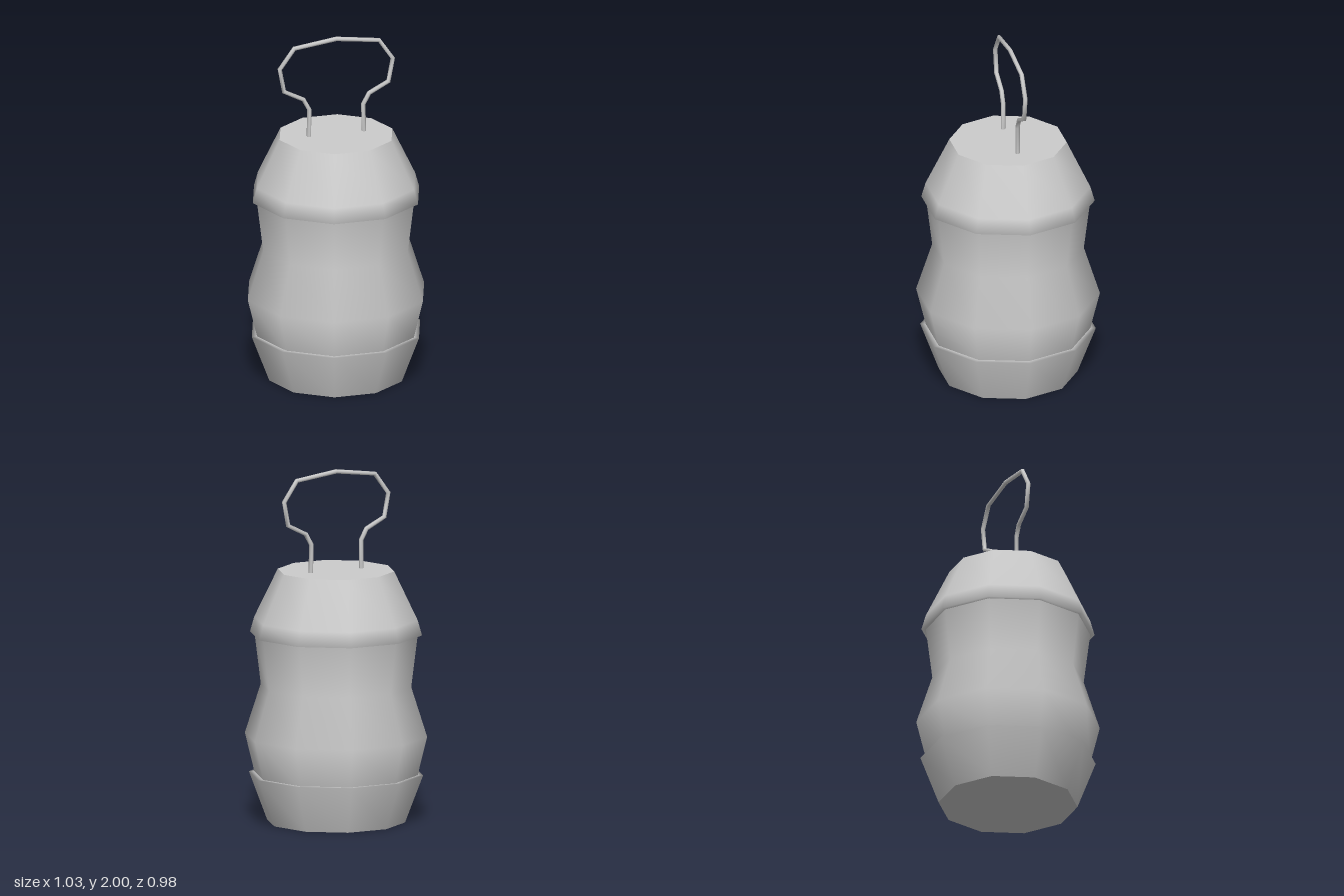
import * as THREE from 'three';

const SIDES = 10;
const material = new THREE.MeshStandardMaterial({ color: 0xcccccc });

function add(group, name, geometry) {
  const mesh = new THREE.Mesh(geometry, material);
  mesh.name = name;
  group.add(mesh);
  return mesh;
}

// Ten-sided turned part from [radius, y] pairs, with a corner on the x axis
function turned(profile) {
  const points = profile.map(([r, y]) => new THREE.Vector2(r, y));
  return new THREE.LatheGeometry(points, SIDES, Math.PI / 2);
}

// Curve through straight segments, with mitred tangents at the corners
class WirePath extends THREE.Curve {
  constructor(points) {
    super();
    this.points = points.map(([x, y]) => new THREE.Vector3(x, y, -0.012));
  }
  getPoint(t, target = new THREE.Vector3()) {
    const last = this.points.length - 1;
    const i = Math.min(Math.floor(t * last + 1e-6), last - 1);
    return target.lerpVectors(this.points[i], this.points[i + 1], t * last - i);
  }
  getPointAt(t, target) {
    return this.getPoint(t, target);
  }
  getTangentAt(t, target = new THREE.Vector3()) {
    const p = this.points;
    const i = Math.round(t * (p.length - 1));
    target.set(0, 0, 0);
    if (i > 0) target.add(p[i].clone().sub(p[i - 1]).normalize());
    if (i < p.length - 1) target.add(p[i + 1].clone().sub(p[i]).normalize());
    return target.normalize();
  }
}

export function createModel() {
  const group = new THREE.Group();

  // Flared foot with a narrow ledge
  add(group, 'base', turned([[0.39, 0], [0.492, 0.27], [0.455, 0.27]]));
  const bottom = add(group, 'bottom', new THREE.CircleGeometry(0.39, SIDES));
  bottom.rotation.x = Math.PI / 2;

  // Bulging body with a waist below the cap
  add(group, 'body', turned([[0.46, 0.265], [0.515, 0.49], [0.425, 0.77], [0.462, 1.07]]));

  // Sloped cap with an overhanging rim and flat top
  add(group, 'cap', turned([[0.44, 1.065], [0.486, 1.065], [0.462, 1.15], [0.329, 1.425]]));
  const top = add(group, 'capTop', new THREE.CircleGeometry(0.329, SIDES));
  top.rotation.x = -Math.PI / 2;
  top.position.y = 1.425;

  // Bent wire loop standing on the cap
  const path = new WirePath([
    [-0.155, 1.4], [-0.153, 1.585], [-0.187, 1.647], [-0.3, 1.705], [-0.325, 1.84],
    [-0.24, 1.955], [0.005, 1.988], [0.255, 1.955], [0.335, 1.84], [0.31, 1.705],
    [0.198, 1.647], [0.163, 1.585], [0.167, 1.4],
  ]);
  add(group, 'wireHandle', new THREE.TubeGeometry(path, path.points.length - 1, 0.013, 6));

  return group;
}
